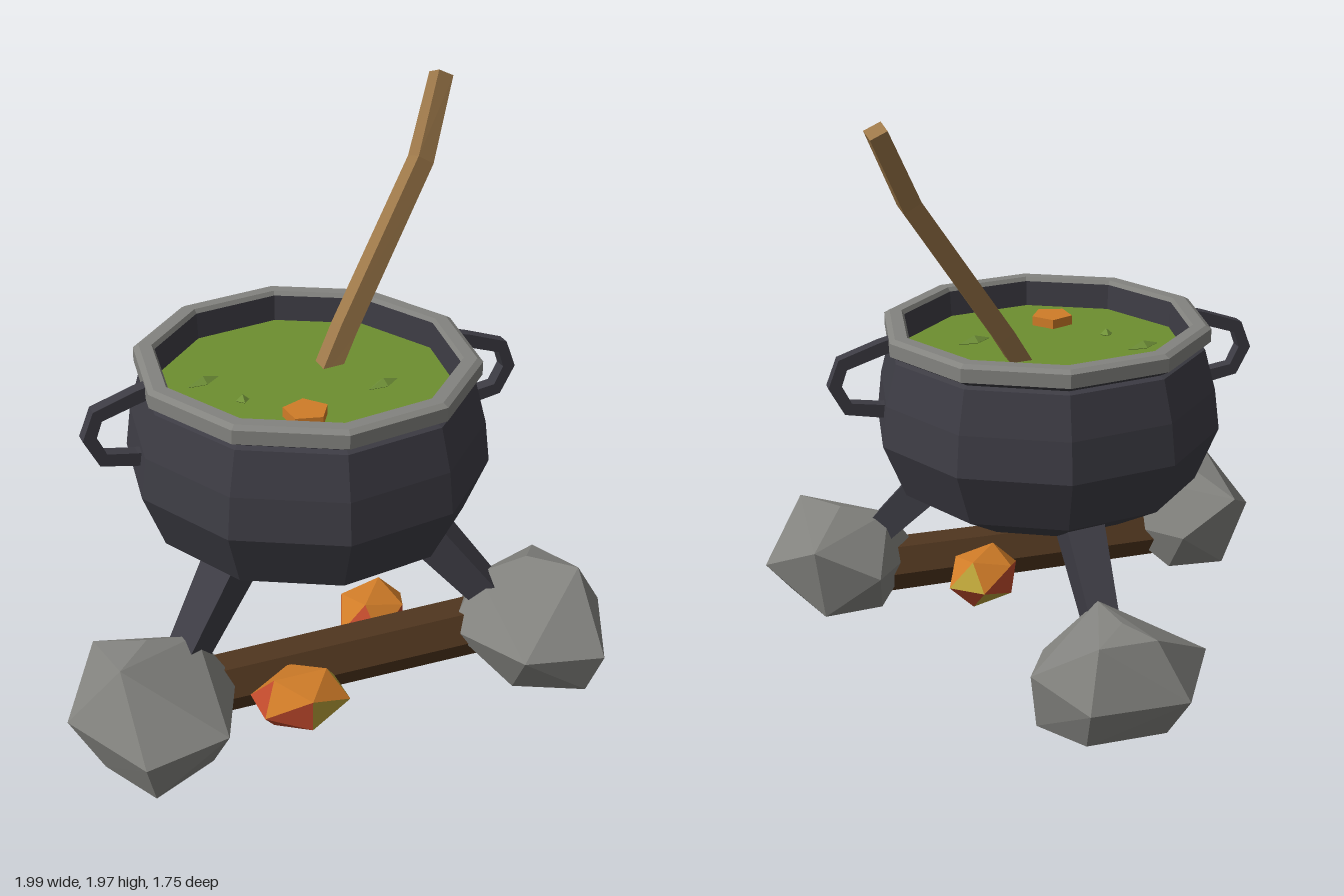
import * as THREE from 'three';
import { ConvexGeometry } from 'three/addons/geometries/ConvexGeometry.js';

const V = (x, y, z) => new THREE.Vector3(x, y, z);

function material(name, color, side = THREE.FrontSide) {
  const m = new THREE.MeshStandardMaterial({ color, side });
  m.name = name;
  return m;
}

// Splits shared corners so every face is shaded flat
function flat(geo) {
  const g = geo.index ? geo.toNonIndexed() : geo;
  g.computeVertexNormals();
  return g;
}

// Square bar swept along a few points, with one width per point
function bar(points, widths, ref) {
  const rings = points.map((p, i) => {
    const a = points[Math.max(i - 1, 0)], b = points[Math.min(i + 1, points.length - 1)];
    const t = b.clone().sub(a).normalize();
    const u = ref.clone().cross(t).normalize();
    const v = t.clone().cross(u);
    const h = widths[i] / 2;
    return [[1, 1], [-1, 1], [-1, -1], [1, -1]].map(([su, sv]) =>
      p.clone().addScaledVector(u, su * h).addScaledVector(v, sv * h));
  });
  const pos = [];
  const quad = (a, b, c, d) => [a, b, c, a, c, d].forEach((q) => pos.push(q.x, q.y, q.z));
  for (let i = 0; i < rings.length - 1; i++) {
    for (let j = 0; j < 4; j++) {
      const k = (j + 1) % 4;
      quad(rings[i][j], rings[i][k], rings[i + 1][k], rings[i + 1][j]);
    }
  }
  const s = rings[0], e = rings[rings.length - 1];
  quad(s[0], s[3], s[2], s[1]);
  quad(e[0], e[1], e[2], e[3]);
  const g = new THREE.BufferGeometry();
  g.setAttribute('position', new THREE.Float32BufferAttribute(pos, 3));
  g.computeVertexNormals();
  return g;
}

export function createModel() {
  const root = new THREE.Group();
  root.name = 'cauldron';

  const iron = material('iron', 0x3d3c44);
  const stone = material('stone', 0x83837f);
  const broth = material('broth', 0x6d8f30);
  const leaf = material('leaf', 0x74963a, THREE.DoubleSide);
  const spoonWood = material('spoonWood', 0x9e794a);
  const bark = material('bark', 0x50361f);
  const orange = material('emberOrange', 0xd07c28);
  const red = material('emberRed', 0xc04a2c);
  const yellow = material('emberYellow', 0xb8a038);

  const add = (parent, name, geo, mat) => {
    const m = new THREE.Mesh(geo, mat);
    m.name = name;
    parent.add(m);
    return m;
  };

  // Ten-sided pot
  const pot = new THREE.Group();
  pot.name = 'pot';
  pot.position.set(-0.016, 0, 0.17);
  root.add(pot);
  const turn = THREE.MathUtils.degToRad(27.3);
  const lathe = (name, profile, mat) => {
    const g = new THREE.LatheGeometry(profile.map(([r, y]) => new THREE.Vector2(r, y)), 10);
    add(pot, name, flat(g), mat).rotation.y = turn;
  };
  lathe('potBody', [[0, 0.44], [0.37, 0.468], [0.552, 0.574], [0.633, 0.773], [0.615, 0.92],
    [0.575, 1.07], [0.555, 1.078], [0.595, 1.1]], iron);
  lathe('rim', [[0.595, 1.1], [0.595, 1.148], [0.575, 1.16], [0.53, 1.16], [0.52, 1.145]], stone);
  lathe('innerWall', [[0.52, 1.145], [0.51, 1.0]], iron);
  const soup = add(pot, 'broth', flat(new THREE.CylinderGeometry(0.514, 0.514, 0.02, 10)), broth);
  soup.position.y = 1.04;
  soup.rotation.y = turn;

  // Handles on both sides
  for (const s of [1, -1]) {
    const path = [[0.53, 1.125], [0.6, 1.107], [0.74, 1.06], [0.77, 0.98], [0.727, 0.897],
      [0.612, 0.877], [0.56, 0.875]].map(([x, y]) => V(s * x, y, 0));
    add(pot, s > 0 ? 'leftHandle' : 'rightHandle', bar(path, path.map(() => 0.047), V(0, 0, 1)), iron);
  }

  // Three splayed legs
  for (let i = 0; i < 3; i++) {
    const a = Math.PI + (i * Math.PI * 2) / 3;
    const at = (r, y) => V(r * Math.sin(a), y, r * Math.cos(a));
    add(pot, 'leg', bar([at(0.37, 0.565), at(0.68, 0.235)], [0.145, 0.1], V(0, 1, 0)), iron);
  }

  // Supporting rocks
  const side = [[0.99, 0.15, 0.54], [0.83, 0.38, 0.64], [0.7, 0.375, 0.5], [0.52, 0.335, 0.48],
    [0.835, 0.28, 0.31], [0.6, 0.16, 0.265], [0.4, 0.15, 0.52], [0.53, 0.17, 0.83],
    [0.82, 0.15, 0.87], [0.89, 0, 0.62], [0.55, 0, 0.72], [0.58, 0, 0.36], [0.8, 0, 0.34],
    [0.78, 0, 0.83]];
  const back = [[-0.335, 0.2, -0.645], [-0.19, 0.15, -0.88], [0.15, 0.15, -0.87],
    [0.285, 0.2, -0.65], [0, 0.355, -0.49], [-0.02, 0.365, -0.68], [-0.1, 0.35, -0.8],
    [0.1, 0.35, -0.8], [-0.2, 0.155, -0.42], [0.17, 0.155, -0.41], [-0.29, 0, -0.63],
    [0.26, 0, -0.63], [-0.14, 0, -0.8], [0.14, 0, -0.8], [-0.15, 0, -0.5], [0.15, 0, -0.5]];
  const rock = (name, pts) => add(root, name, new ConvexGeometry(pts.map((p) => V(...p))), stone);
  rock('leftRock', side);
  rock('rightRock', side.map(([x, y, z]) => [-x - 0.01, y, z]));
  rock('backRock', back);

  // Six-sided log
  const logGeo = new THREE.CylinderGeometry(0.098, 0.104, 1.22, 6);
  logGeo.rotateZ(Math.PI / 2);
  add(root, 'log', flat(logGeo), bark).position.set(0, 0.117, 0.48);

  // Glowing embers: orange on top, red and yellow below
  for (const [x, z, ry] of [[-0.225, 0.65, 0], [0.2, 0.28, 0.9]]) {
    const g = flat(new THREE.IcosahedronGeometry(1, 0));
    const p = g.attributes.position;
    for (let f = 0; f < p.count; f += 3) {
      const y = (p.getY(f) + p.getY(f + 1) + p.getY(f + 2)) / 3;
      g.addGroup(f, 3, y > 0.3 ? 0 : 1 + ((f / 3) % 2));
    }
    g.scale(0.18, 0.108, 0.135);
    g.computeVertexNormals();
    const ember = add(root, 'ember', g, [orange, red, yellow]);
    ember.position.set(x, 0.118, z);
    ember.rotation.y = ry;
  }

  // Bent stirring stick
  add(root, 'stirringStick', bar([V(0.07, 0.98, 0.09), V(0.18, 1.16, 0.035), V(0.528, 1.68, -0.12),
    V(0.652, 1.945, -0.235)], [0.07, 0.07, 0.068, 0.062], V(0, 0, 1)), spoonWood);

  // Vegetable slice and herbs floating on the broth
  const slice = add(root, 'vegetableSlice', flat(new THREE.CylinderGeometry(0.078, 0.078, 0.05, 5)), orange);
  slice.position.set(-0.12, 1.06, 0.43);
  slice.rotation.y = 0.4;
  for (const [x, z, len, wide, ry] of [[-0.35, 0.06, 0.07, 0.025, 0.35], [0.215, 0.295, 0.07, 0.025, 0.35],
    [0.155, -0.035, 0.035, 0.03, 0.6], [-0.27, 0.235, 0.024, 0.024, 0]]) {
    const g = new THREE.OctahedronGeometry(1, 0);
    g.scale(len, 0.022, wide);
    const herb = add(root, 'herb', flat(g), leaf);
    herb.position.set(x, 1.053, z);
    herb.rotation.y = ry;
  }

  return root;
}
